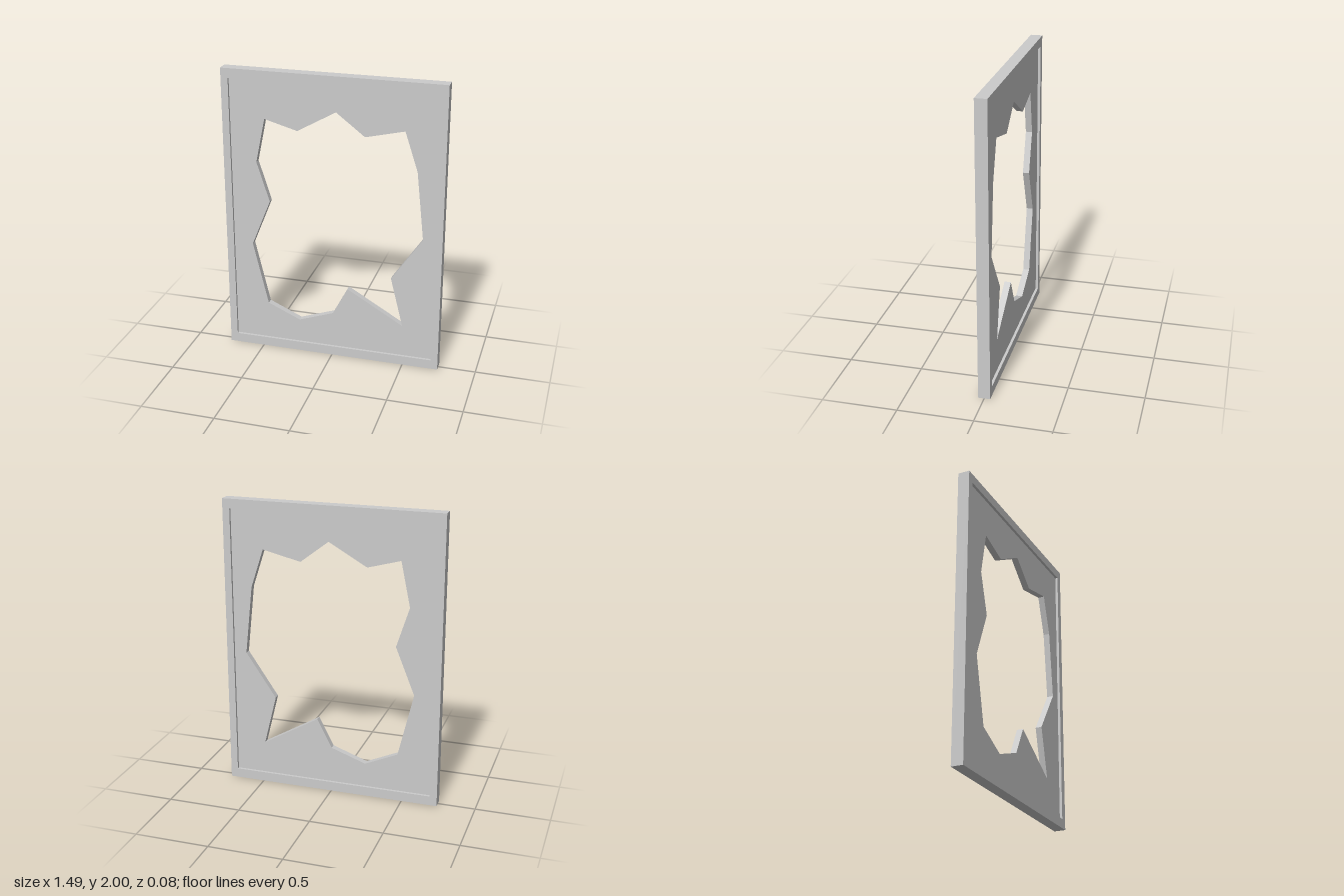
import * as THREE from 'three';

const material = new THREE.MeshStandardMaterial({ color: 0xcccccc, flatShading: true });

const rectangle = (w, y0, y1) => [[-w, y0], [w, y0], [w, y1], [-w, y1]];
const toPoints = (list) => list.map(([x, y]) => new THREE.Vector2(x, y));

// Flat plate with one opening, centred on z = 0
function plate(name, outline, opening, depth) {
  const shape = new THREE.Shape(toPoints(outline));
  shape.holes.push(new THREE.Path(toPoints(opening)));
  const geometry = new THREE.ExtrudeGeometry(shape, { depth, bevelEnabled: false });
  geometry.translate(0, 0, -depth / 2);
  const mesh = new THREE.Mesh(geometry, material);
  mesh.name = name;
  return mesh;
}

export function createModel() {
  const model = new THREE.Group();
  model.name = 'brokenPaneFrame';

  const inner = rectangle(0.696, 0.065, 1.936);

  // Raised rectangular border
  model.add(plate('frame', rectangle(0.745, 0, 2), inner, 0.08));

  // Recessed pane with a jagged break through it
  const jaggedHole = [
    [-0.46, 1.674], [-0.237, 1.612], [0.023, 1.76], [0.215, 1.612],
    [0.476, 1.674], [0.562, 1.41], [0.612, 0.942], [0.405, 0.636],
    [0.49, 0.29], [0.105, 0.516], [0.002, 0.317], [-0.237, 0.232],
    [-0.462, 0.333], [-0.566, 0.773], [-0.436, 1.097], [-0.523, 1.37],
  ];
  model.add(plate('brokenPane', inner, jaggedHole, 0.044));

  return model;
}
